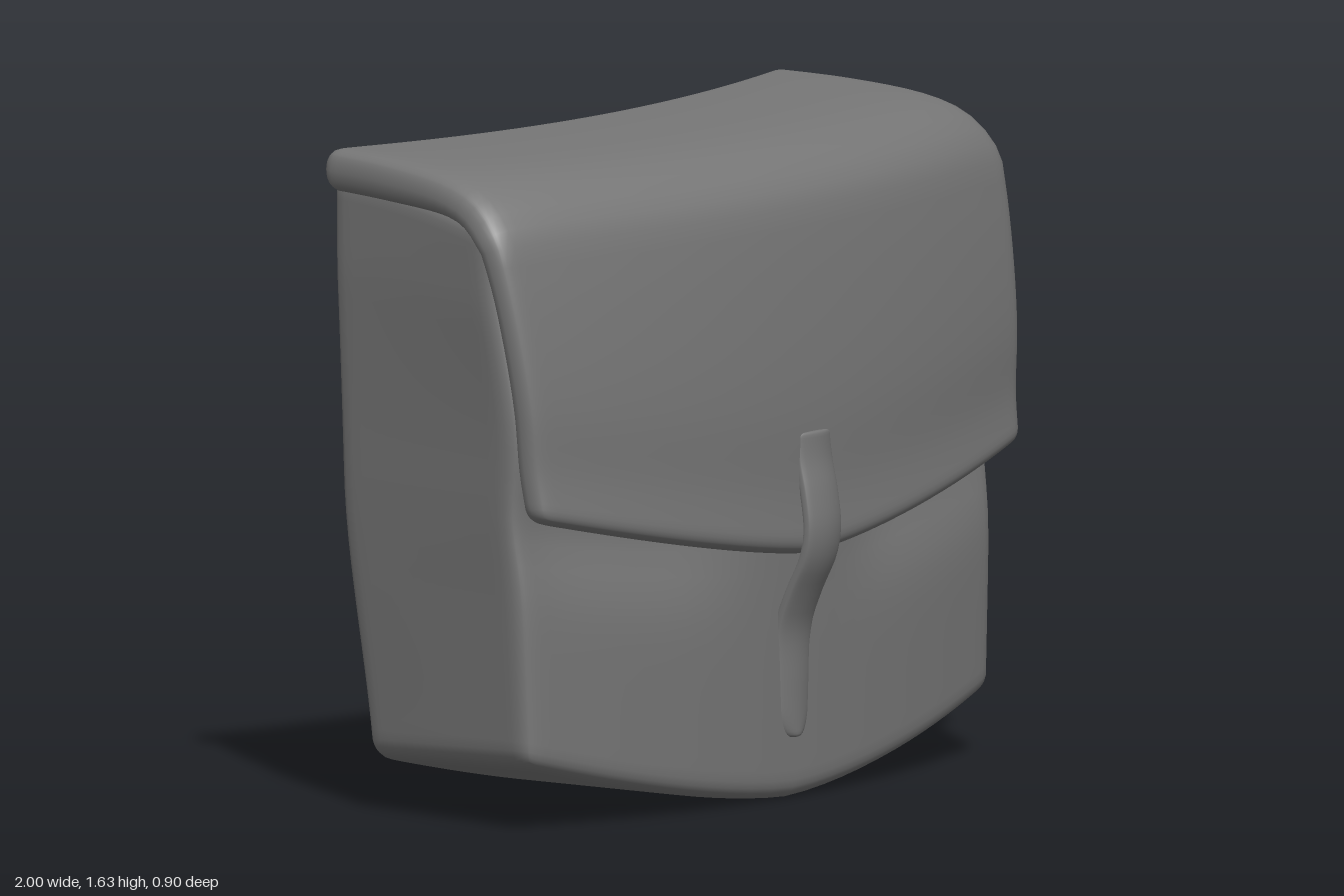
import * as THREE from 'three';
import { mergeVertices } from 'three/addons/utils/BufferGeometryUtils.js';

const material = new THREE.MeshStandardMaterial({ color: 0x767676 });
const { lerp, clamp, smoothstep } = THREE.MathUtils;

// Rounded block of half sizes h, its vertices packed towards the edges, then reshaped by map(p).
function softBlock(name, h, r, segs, map) {
  let geo = new THREE.BoxGeometry(2, 2, 2, ...segs);
  geo.deleteAttribute('normal');
  geo.deleteAttribute('uv');
  geo = mergeVertices(geo, 1e-5);
  const pos = geo.attributes.position;
  const p = new THREE.Vector3(), inner = new THREE.Vector3();
  for (let i = 0; i < pos.count; i++) {
    p.fromBufferAttribute(pos, i);
    for (const [k, axis] of ['x', 'y', 'z'].entries()) {
      p[axis] = Math.sin(p[axis] * Math.PI / 2) * h[k];
      inner[axis] = clamp(p[axis], r - h[k], h[k] - r);
    }
    p.sub(inner).normalize().multiplyScalar(r).add(inner);
    map(p);
    pos.setXYZ(i, p.x, p.y, p.z);
  }
  geo.computeVertexNormals();
  const mesh = new THREE.Mesh(geo, material);
  mesh.name = name;
  return mesh;
}

// Smooth curve through [z, y] points
const profile = (pts) => new THREE.SplineCurve(pts.map(([z, y]) => new THREE.Vector2(z, y)));

// The whole bag bows around the wearer, slightly askew
const bow = (x) => 0.038 * x - 0.125 * x * x;
const bump = (t, centre, width) => Math.exp(-(((t - centre) / width) ** 2));

function createBody() {
  const hx = 0.95, hy = 0.755, hz = 0.32;
  return softBlock('body', [hx, hy, hz], 0.05, [36, 36, 20], (p) => {
    const v = (p.y + hy) / (2 * hy);
    const depth = (p.z + hz) / (2 * hz);
    const u = p.x / hx;
    // sides widen upwards and towards the front
    const half = lerp(0.91, 0.965, Math.min(1, v * 1.2)) * lerp(0.9, 1, depth);
    const x = u * half + 0.03 * (1 - depth);
    // the top slopes down towards the front
    let y = v * lerp(1.57, 1.49, depth * depth);
    // front leans back under the flap and is pressed in by its hem
    const front = 0.34 - 0.065 * smoothstep(y, 0.85, 1.5)
      - 0.05 * bump(y, 0.68, 0.15) * smoothstep(Math.abs(u), 0.1, 0.5) * (1 - 0.7 * u ** 8);
    // back tucks in at the bottom and is hollow below the rim
    const back = -0.33 + 0.11 * (1 - smoothstep(y, -0.1, 0.75)) * (1 - 0.45 * u * u) * 1.08
      + 0.035 * bump(y, 1.15, 0.28) * (1 - u * u);
    y += (1 - v) * 0.19 * Math.abs(x) ** 1.5;
    p.set(x, y, lerp(back, front, depth) + bow(x));
  });
}

function createFlap() {
  const curve = profile([[-0.33, 1.635], [-0.1, 1.632], [0.12, 1.613], [0.25, 1.57], [0.325, 1.49],
    [0.355, 1.37], [0.385, 1.15], [0.402, 0.95], [0.405, 0.76], [0.42, 0.61]]);
  const hx = 1, thick = 0.045, hz = 0.78;
  return softBlock('flap', [hx, thick, hz], 0.043, [40, 6, 48], (p) => {
    const s = clamp((p.z + hz) / (2 * hz), 0, 1);
    const c = curve.getPointAt(s), t = curve.getTangentAt(s);
    // a fat rim at the back thins out down the front
    const offset = (p.y - thick) * lerp(1.18, 0.8, smoothstep(s, 0.1, 0.6));
    let y = c.y + t.x * offset;
    const z = c.x - t.y * offset;
    // narrow along the back edge, widest at the front shoulder, narrower at the hem
    const depth = clamp((c.x + 0.325) / 0.65, 0, 1);
    const half = lerp(0.9, 1, depth) - 0.07 * Math.max(0, 1.47 - c.y);
    const x = p.x * half + 0.03 * (1 - depth);
    // the hem hangs lowest in the middle, the top sags a little there
    if (y < 1.4) y = 1.4 - (1.4 - y) * (0.79 - 0.18 * Math.abs(x) ** 1.3) / 0.79;
    y -= 0.025 * Math.abs(p.x) ** 12 * smoothstep(c.y, 1.4, 1.55) * depth;
    y -= 0.015 * (1 - x * x) * smoothstep(c.y, 1.45, 1.56);
    p.set(x, y, z + bow(x));
  });
}

function createStrap() {
  const curve = profile([[0.352, 0.15], [0.352, 0.28], [0.356, 0.41], [0.388, 0.5], [0.432, 0.59],
    [0.447, 0.67], [0.437, 0.76], [0.42, 0.84], [0.414, 0.91]]);
  const hx = 0.068, hy = 0.4, thick = 0.012;
  return softBlock('strap', [hx, hy, thick], 0.011, [14, 44, 4], (p) => {
    const s = clamp((p.y + hy) / (2 * hy), 0, 1);
    const c = curve.getPointAt(s), t = curve.getTangentAt(s);
    // crowned across its width
    const offset = p.z - thick - 0.016 * (p.x / hx) ** 2;
    // rounded, slightly tapering tip
    const tip = Math.min(1, s / 0.1);
    const taper = (0.25 + 0.75 * Math.sqrt(1 - (1 - tip) ** 2)) * lerp(0.88, 1, smoothstep(s, 0, 0.35));
    p.set(p.x * taper + 0.003, c.y - t.x * offset, c.x + t.y * offset);
  });
}

export function createModel() {
  const bag = new THREE.Group();
  bag.name = 'satchel';
  bag.add(createBody(), createFlap(), createStrap());
  return bag;
}
